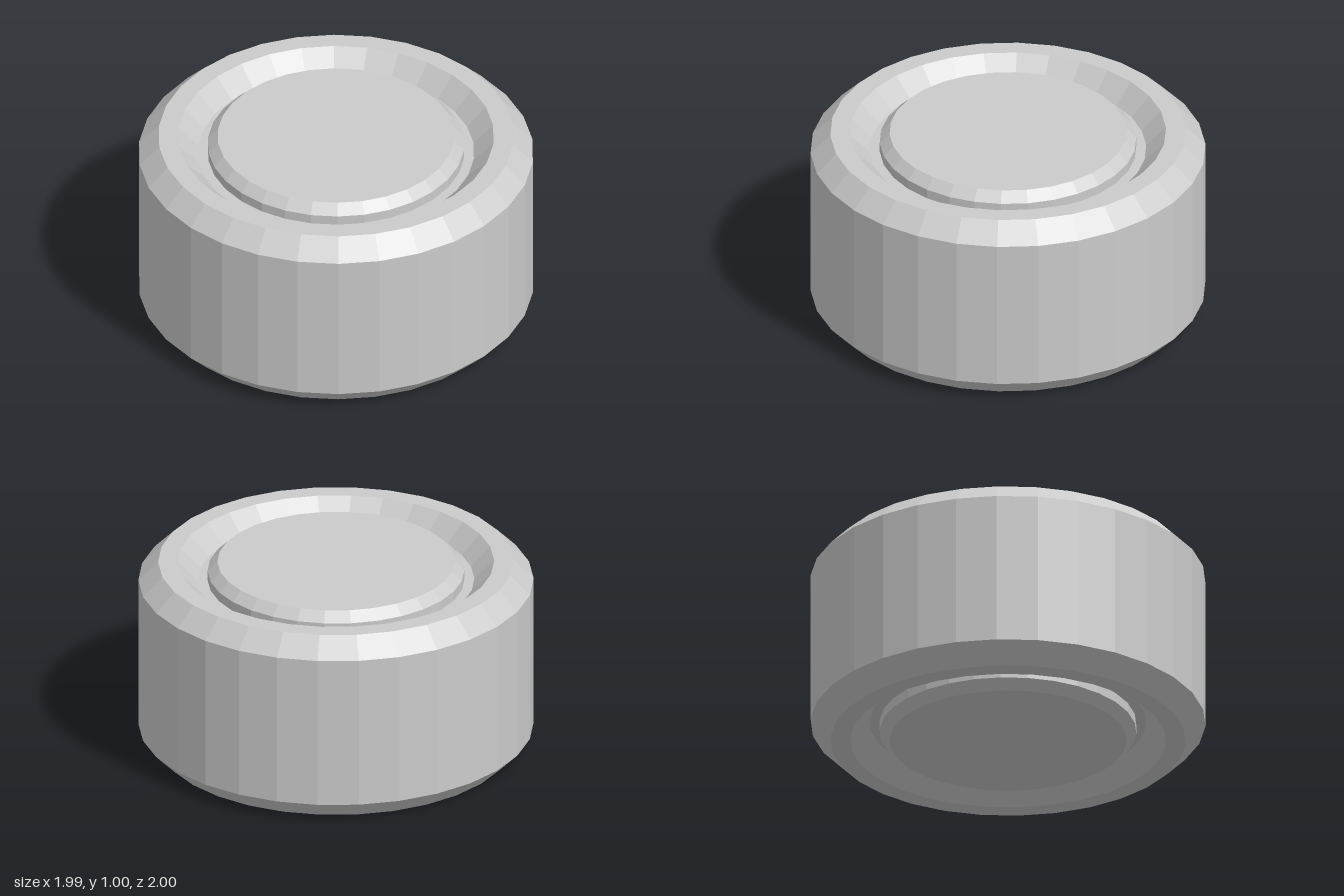
import * as THREE from 'three';

const SIDES = 30;

export function createModel() {
  const group = new THREE.Group();
  const material = new THREE.MeshStandardMaterial({ color: 0xcccccc, flatShading: true });

  // Turned part from [radius, height] pairs, listed from the bottom up along the outside
  const turned = (name, profile) => {
    const points = profile.map(([r, y]) => new THREE.Vector2(r, y));
    const mesh = new THREE.Mesh(new THREE.LatheGeometry(points, SIDES), material);
    mesh.name = name;
    group.add(mesh);
  };

  // Same profile reflected about mid height, reversed so it still runs in order
  const mirror = (profile) => profile.map(([r, y]) => [r, 1 - y]).reverse();

  // Chamfered outer ring with a sloped groove on both ends
  const lowerRing = [[0.65, 0.1], [0.7, 0.1], [0.8, 0], [0.9, 0], [1, 0.1]];
  turned('outerRing', [...lowerRing, ...mirror(lowerRing)]);

  // Raised centre discs with a small chamfer
  const upperDisc = [[0.65, 0.9], [0.65, 0.95], [0.6, 1], [0, 1]];
  turned('topDisc', upperDisc);
  turned('bottomDisc', mirror(upperDisc));

  return group;
}
